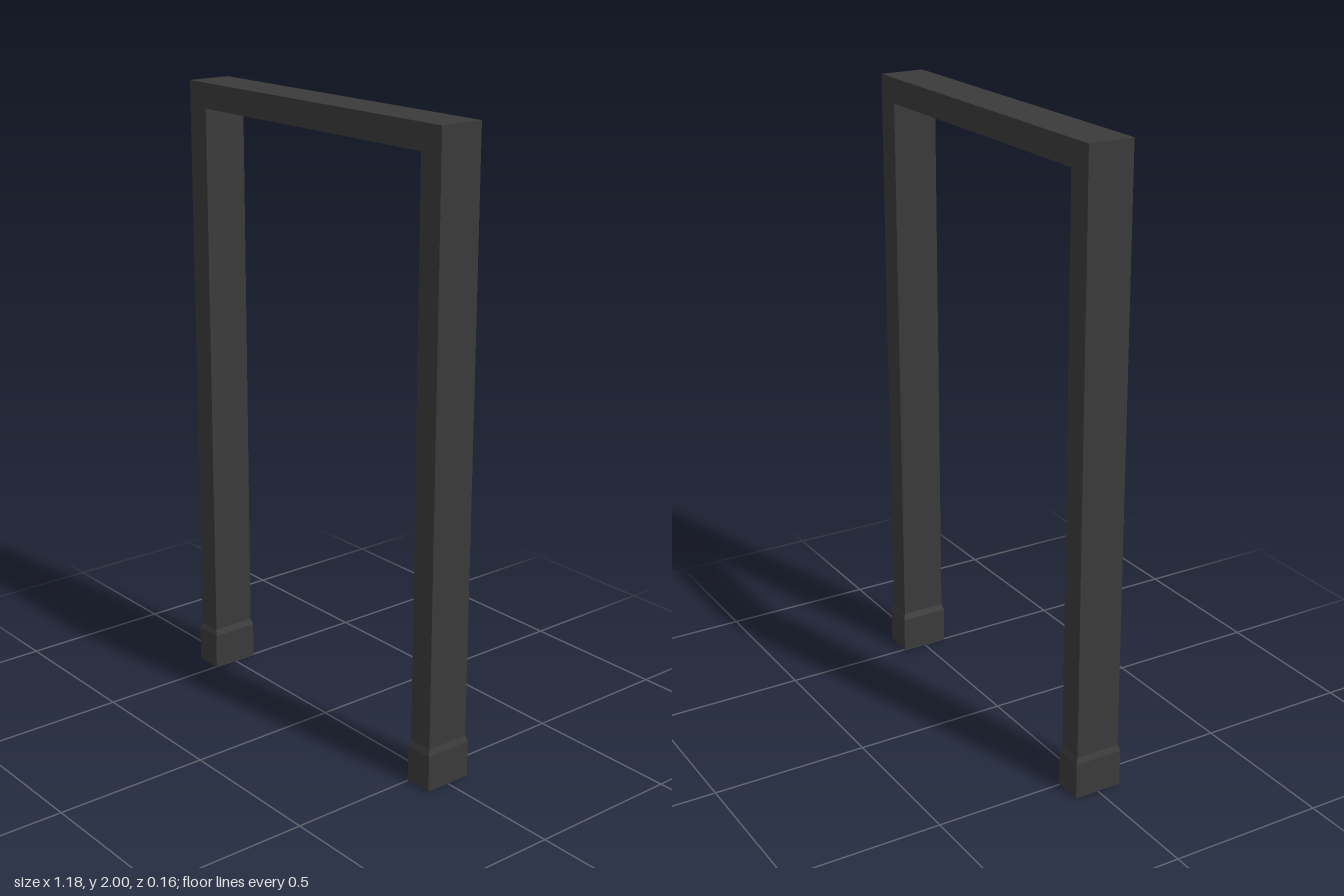
import * as THREE from 'three';

const LEG_X = 0.544;                    // centre of each leg
const LEG = { x: 0.041, z: 0.073 };     // half sizes of the bar section
const FOOT = { x: 0.047, z: 0.079 };    // half sizes of the foot sleeve
const FOOT_TOP = 0.137, SHOULDER = 0.117;

// Square sleeve, open below, with a bevelled shoulder that closes onto the leg
function footGeometry() {
  const rows = [[FOOT_TOP, LEG], [SHOULDER, FOOT], [0, FOOT]];
  const tube = new THREE.CylinderGeometry(Math.SQRT1_2, Math.SQRT1_2, 1, 4, 2, true, Math.PI / 4);
  const p = tube.attributes.position;
  for (let i = 0; i < p.count; i++) {
    const [y, half] = rows[Math.round((0.5 - p.getY(i)) * 2)];
    p.setXYZ(i, Math.sign(p.getX(i)) * half.x, y, Math.sign(p.getZ(i)) * half.z);
  }
  const geometry = tube.toNonIndexed();
  geometry.computeVertexNormals();
  return geometry;
}

// One-piece arch: two legs and the top bar
function frameGeometry() {
  const outer = LEG_X + LEG.x, inner = LEG_X - LEG.x;
  const outline = [
    [-outer, FOOT_TOP], [-inner, FOOT_TOP], [-inner, 1.92], [inner, 1.92],
    [inner, FOOT_TOP], [outer, FOOT_TOP], [outer, 2], [-outer, 2],
  ].map(([x, y]) => new THREE.Vector2(x, y));
  return new THREE.ExtrudeGeometry(new THREE.Shape(outline), { depth: LEG.z * 2, bevelEnabled: false })
    .translate(0, 0, -LEG.z);
}

export function createModel() {
  const group = new THREE.Group();
  group.name = 'archFrame';
  const material = new THREE.MeshStandardMaterial({ color: 0x3a3a3a, flatShading: true, side: THREE.DoubleSide });

  const frame = new THREE.Mesh(frameGeometry(), material);
  frame.name = 'frame';
  group.add(frame);

  // Feet, one under each leg
  const geometry = footGeometry();
  for (const [name, side] of [['leftFoot', 1], ['rightFoot', -1]]) {
    const foot = new THREE.Mesh(geometry, material);
    foot.name = name;
    foot.position.x = side * LEG_X;
    group.add(foot);
  }
  return group;
}
